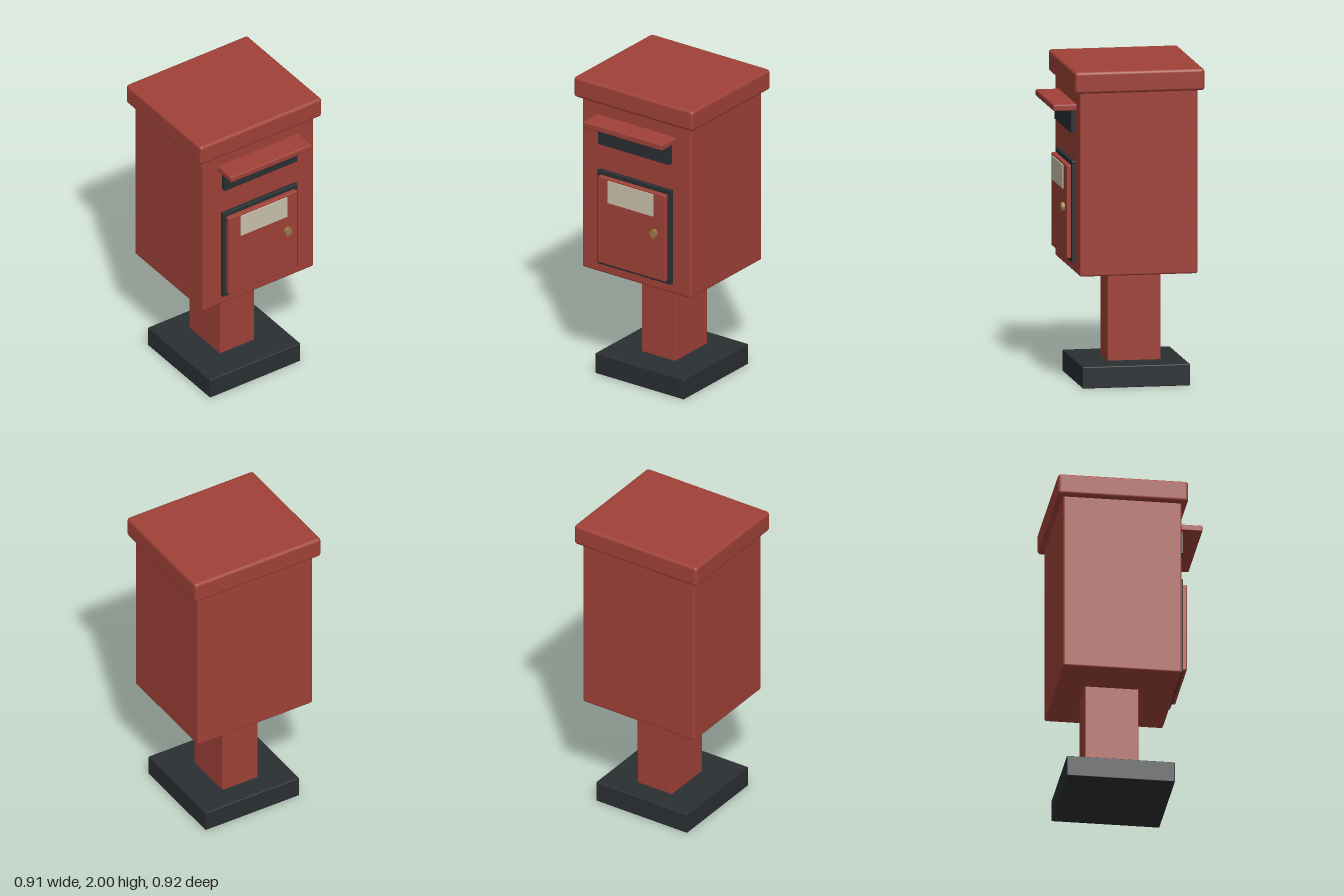
import * as THREE from 'three';
import { RoundedBoxGeometry } from 'three/addons/geometries/RoundedBoxGeometry.js';

const material = (color) => new THREE.MeshStandardMaterial({ color });

export function createModel() {
  const model = new THREE.Group();
  model.name = 'postBox';
  const red = material(0xa04238);
  const dark = material(0x2a2f32);
  const cream = material(0xcbc2ac);
  const brass = material(0x9c7a44);

  // Softly bevelled block given by its limits on each axis
  function block(name, mat, [x0, x1], [y0, y1], [z0, z1], bevel) {
    const size = [x1 - x0, y1 - y0, z1 - z0];
    const geometry = bevel
      ? new RoundedBoxGeometry(...size, 2, bevel)
      : new THREE.BoxGeometry(...size);
    const mesh = new THREE.Mesh(geometry, mat);
    mesh.name = name;
    mesh.position.set((x0 + x1) / 2, (y0 + y1) / 2, (z0 + z1) / 2);
    model.add(mesh);
    return mesh;
  }

  // Stand
  block('base', dark, [-0.34, 0.34], [0, 0.135], [-0.39, 0.285], 0.006);
  block('post', red, [-0.128, 0.128], [0.12, 0.73], [-0.245, 0.088], 0.004);

  // Box and lid
  block('body', red, [-0.416, 0.416], [0.713, 1.88], [-0.423, 0.317], 0.012);
  block('lid', red, [-0.457, 0.457], [1.863, 2], [-0.461, 0.353], 0.02);

  // Letter slot under its rain hood
  block('slot', dark, [-0.275, 0.275], [1.59, 1.737], [0.3, 0.347], 0.004);
  block('slotHood', red, [-0.304, 0.304], [1.735, 1.776], [0.29, 0.462], 0.008);

  // Collection door with frame and label
  block('doorFrame', dark, [-0.28, 0.28], [0.78, 1.415], [0.3, 0.342], 0.004);
  block('door', red, [-0.258, 0.258], [0.805, 1.387], [0.33, 0.371], 0.006);
  block('label', cream, [-0.174, 0.174], [1.23, 1.378], [0.375, 0.382], 0);

  // Oval lock
  const lock = new THREE.Mesh(new THREE.CylinderGeometry(0.024, 0.024, 0.03, 16), brass);
  lock.name = 'lock';
  lock.rotation.x = Math.PI / 2;
  lock.scale.z = 1.2;
  lock.position.set(0.18, 1.116, 0.377);
  model.add(lock);

  return model;
}
